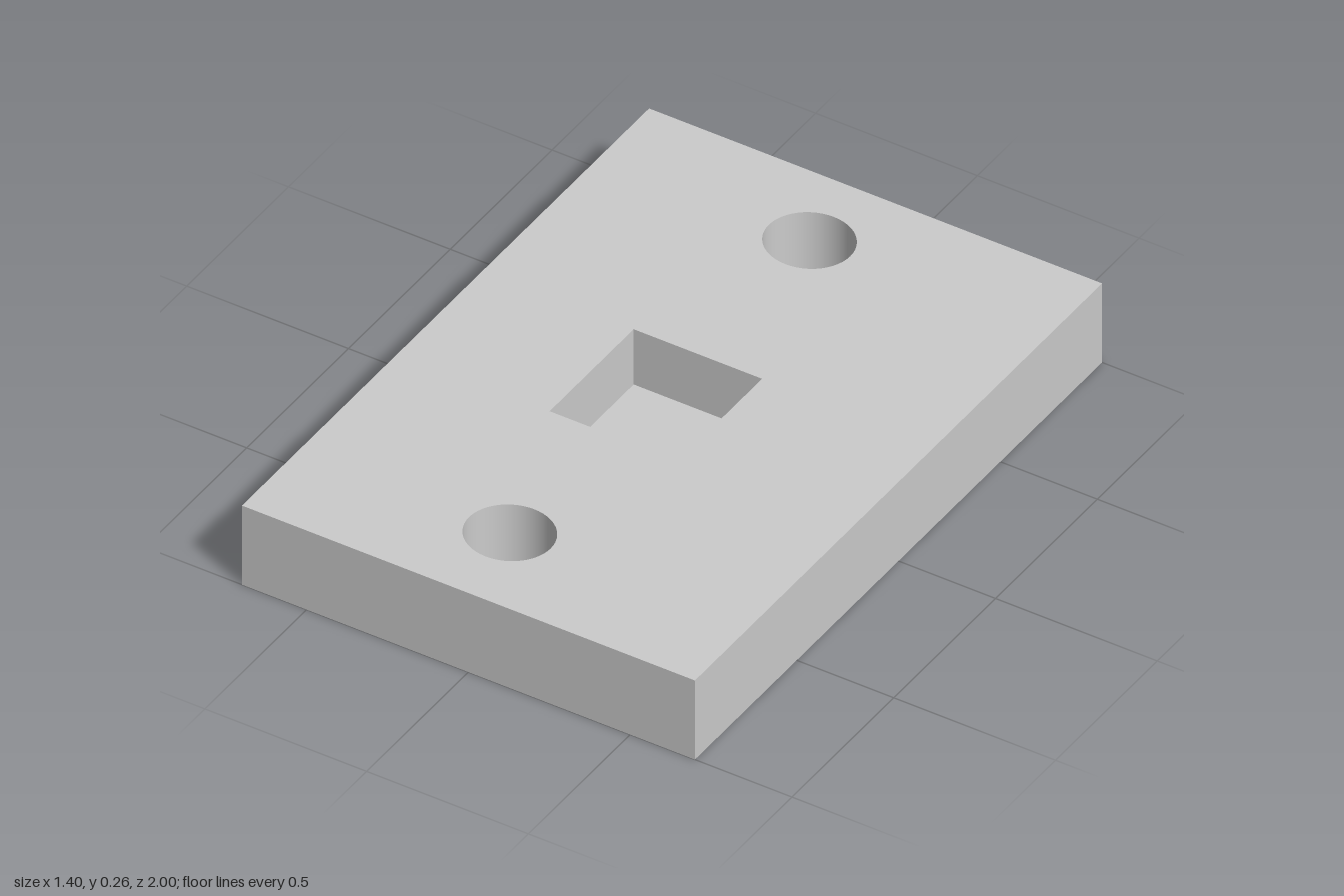
import * as THREE from 'three';

const W = 1.4, L = 2, H = 0.262, SEG = 48;
const hole = { x: -0.045, rx: 0.126, rz: 0.119, zs: [-0.747, 0.725] };
const pocket = { x0: -0.233, x1: 0.164, z0: -0.182, z1: 0.231, floor: 0.079 };

// Flat face of the plate with its openings cut out; side is +1 for top, -1 for bottom
function plateFace(side, withPocket) {
  const rect = (x0, z0, x1, z1) =>
    [[x0, z0], [x1, z0], [x1, z1], [x0, z1]].map(([x, z]) => new THREE.Vector2(x, -side * z));
  const shape = new THREE.Shape(rect(-W / 2, -L / 2, W / 2, L / 2));
  for (const z of hole.zs) {
    const pts = [];
    for (let i = 0; i < SEG; i++) {
      const a = (i / SEG) * Math.PI * 2;
      pts.push(new THREE.Vector2(hole.x + hole.rx * Math.sin(a), -side * (z + hole.rz * Math.cos(a))));
    }
    shape.holes.push(new THREE.Path(pts));
  }
  if (withPocket) shape.holes.push(new THREE.Path(rect(pocket.x0, pocket.z0, pocket.x1, pocket.z1)));
  return new THREE.ShapeGeometry(shape).rotateX(-side * Math.PI / 2);
}

// Box keeping only some faces (order +x -x +y -y +z -z), optionally turned inside out
function boxFaces(w, h, d, keep, inward = false) {
  const box = new THREE.BoxGeometry(w, h, d);
  let index = keep.flatMap((f) => Array.from(box.index.array.slice(f * 6, f * 6 + 6)));
  if (inward) index = index.reverse();
  box.clearGroups();
  box.setIndex(index);
  const geometry = box.toNonIndexed();
  geometry.computeVertexNormals();
  return geometry;
}

export function createModel() {
  const group = new THREE.Group();
  group.name = 'mountingPlate';
  const material = new THREE.MeshStandardMaterial({ color: 0xcccccc });
  const add = (name, geometry, x = 0, y = 0, z = 0) => {
    const mesh = new THREE.Mesh(geometry, material);
    mesh.name = name;
    mesh.position.set(x, y, z);
    group.add(mesh);
  };

  // Plate: top, bottom and outer edges
  add('plateTop', plateFace(1, true), 0, H, 0);
  add('plateBottom', plateFace(-1, false));
  add('plateEdges', boxFaces(W, H, L, [0, 1, 4, 5]), 0, H / 2, 0);

  // Blind rectangular pocket: four walls and a floor
  const { x0, x1, z0, z1, floor } = pocket;
  add('pocket', boxFaces(x1 - x0, H - floor, z1 - z0, [0, 1, 3, 4, 5], true),
    (x0 + x1) / 2, (H + floor) / 2, (z0 + z1) / 2);

  // Through-hole walls, profile drawn downward so they face inward
  const profile = [new THREE.Vector2(1, H), new THREE.Vector2(1, 0)];
  for (const z of hole.zs) {
    const wall = new THREE.LatheGeometry(profile, SEG).scale(hole.rx, 1, hole.rz);
    add(z < 0 ? 'backHoleWall' : 'frontHoleWall', wall, hole.x, 0, z);
  }
  return group;
}
